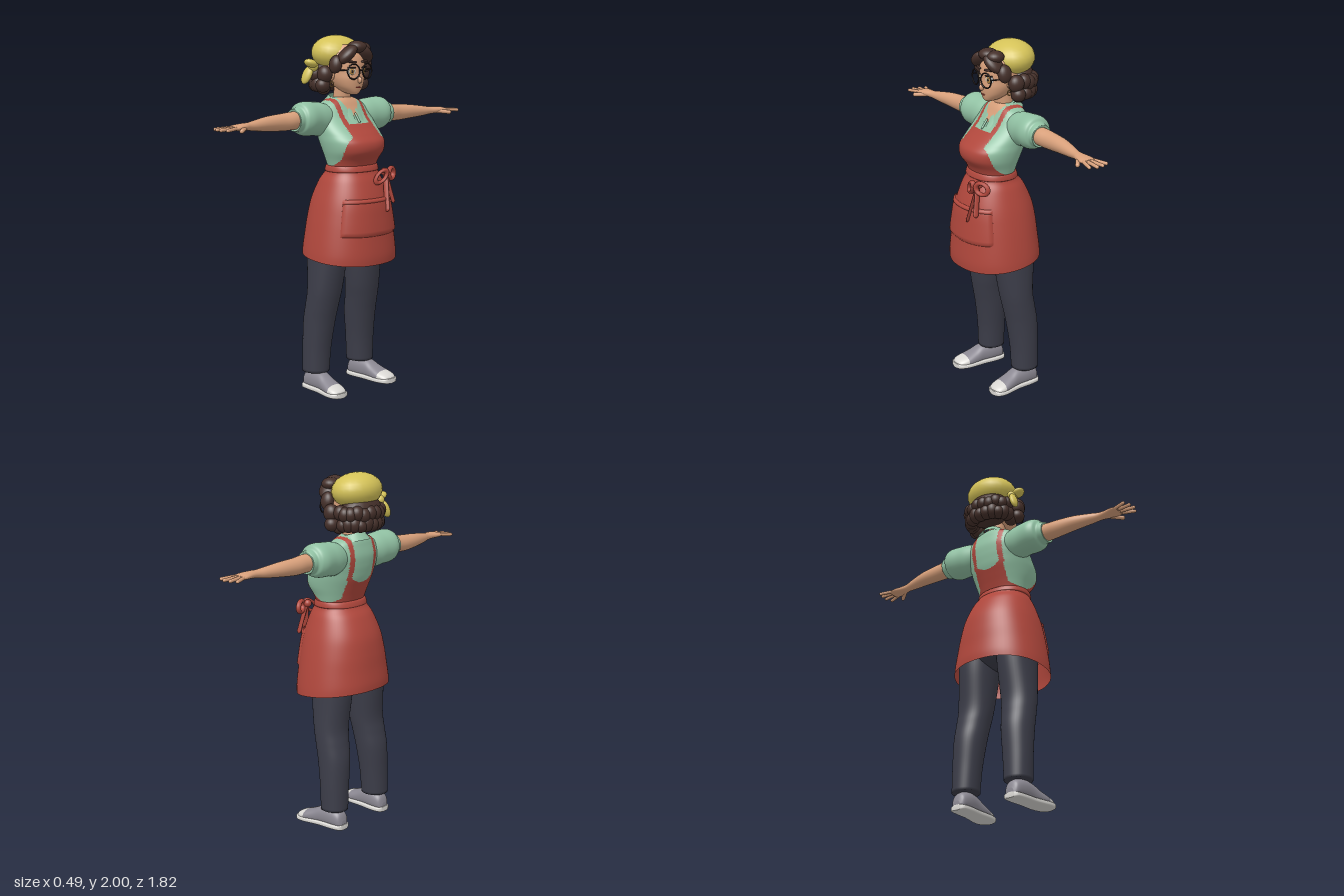
import * as THREE from 'three';

const mat = (name, color, side = THREE.FrontSide) => {
  const m = new THREE.MeshStandardMaterial({ color, side });
  m.name = name;
  return m;
};

export function createModel() {
  const red = mat('apronRed', 0xb0473c, THREE.DoubleSide);
  const green = mat('shirtGreen', 0x91c1a3, THREE.DoubleSide);
  const skin = mat('skin', 0xd8a07b);
  const yellow = mat('scarfYellow', 0xd4c258);
  const hair = mat('hairBrown', 0x45302a);
  const navy = mat('trouserNavy', 0x3c3d49);
  const grey = mat('shoeGrey', 0x8b8892);
  const white = mat('rubberWhite', 0xdad8d4);
  const amber = mat('irisAmber', 0xb98a45);
  const dark = mat('frameDark', 0x2a2020);

  // The figure is built facing +z, then turned to face +x
  const body = new THREE.Group();
  body.name = 'woman';

  const add = (name, geo, material, pos = [0, 0, 0], rot = [0, 0, 0], scale = [1, 1, 1]) => {
    const m = new THREE.Mesh(geo, material);
    m.name = name;
    m.position.set(...pos);
    m.rotation.set(...rot);
    m.scale.set(...scale);
    body.add(m);
    return m;
  };
  const ball = (name, material, pos, radii, rot) =>
    add(name, new THREE.SphereGeometry(1, 24, 16), material, pos, rot, radii);
  // Rounded rod between two points, optionally flattened into a ribbon
  const rod = (name, material, a, b, r, flat = 1) => {
    const p = new THREE.Vector3(...a), q = new THREE.Vector3(...b), d = q.clone().sub(p);
    const m = add(name, new THREE.CapsuleGeometry(r, d.length(), 5, 12), material,
      p.clone().add(q).multiplyScalar(0.5).toArray(), [0, 0, 0], [1, 1, flat]);
    m.quaternion.setFromUnitVectors(new THREE.Vector3(0, 1, 0), d.normalize());
    return m;
  };

  // Smooth cross-section at fractional index k; rows are [t, centreA, radiusA, centreB, radiusB]
  const rowAt = (rows, k) => {
    const i = Math.min(Math.floor(k), rows.length - 2), f = k - i;
    const g = (j) => rows[Math.max(0, Math.min(rows.length - 1, j))];
    return rows[0].map((_, c) => {
      const [a, b, d, e] = [g(i - 1)[c], g(i)[c], g(i + 1)[c], g(i + 2)[c]];
      return b + 0.5 * f * (d - a + f * (2 * a - 5 * b + 4 * d - e + f * (3 * (b - d) + e - a)));
    });
  };
  const pw = (v, e) => Math.sign(v) * Math.abs(v) ** (2 / e);
  const upright = (t, a, b) => new THREE.Vector3(a, t, b);
  const section = (rows, k, ang, place, e = 2.2, off = 0) => {
    const [t, ca, ra, cb, rb] = rowAt(rows, k);
    return place(t, ca + (ra + off) * pw(Math.sin(ang), e), cb + (rb + off) * pw(Math.cos(ang), e));
  };

  // Closed skin through cross-sections; pick() chooses a material per face
  const loft = (name, rows, mats, { place = upright, e = 2.2, seg = 40, sub = 6, pick = () => 0, caps = [1, 1] } = {}) => {
    const n = (rows.length - 1) * sub, pts = [], tris = [];
    for (let i = 0; i <= n; i++)
      for (let j = 0; j < seg; j++) pts.push(section(rows, i / sub, (j / seg) * Math.PI * 2, place, e));
    for (let i = 0; i < n; i++)
      for (let j = 0; j < seg; j++) {
        const a = i * seg + j, b = i * seg + (j + 1) % seg;
        tris.push([a, b, a + seg], [b, b + seg, a + seg]);
      }
    [0, n].forEach((i, c) => {
      if (!caps[c]) return;
      const [t, ca, , cb] = rowAt(rows, i / sub);
      const id = pts.push(place(t, ca, cb)) - 1;
      for (let j = 0; j < seg; j++) {
        const a = i * seg + j, b = i * seg + (j + 1) % seg;
        tris.push(c ? [a, b, id] : [b, a, id]);
      }
    });
    // Keep faces pointing outwards on both mirrored sides
    const mid = pts.reduce((s, p) => s.add(p), new THREE.Vector3()).divideScalar(pts.length);
    const rel = pts.map((p) => p.clone().sub(mid));
    const vol = tris.reduce((s, [a, b, c]) => s + rel[a].dot(rel[b].clone().cross(rel[c])), 0);
    const list = Array.isArray(mats) ? mats : [mats];
    const buckets = list.map(() => []);
    for (const [a, b, c] of tris) {
      const centre = pts[a].clone().add(pts[b]).add(pts[c]).divideScalar(3);
      buckets[pick(centre)].push(...(vol < 0 ? [a, c, b] : [a, b, c]));
    }
    const geo = new THREE.BufferGeometry().setFromPoints(pts);
    geo.setIndex(buckets.flat());
    let start = 0;
    buckets.forEach((b, i) => { geo.addGroup(start, b.length, i); start += b.length; });
    geo.computeVertexNormals();
    return add(name, geo, Array.isArray(mats) ? mats : list[0]);
  };
  // Open sheet from a point function of u and v
  const sheet = (name, material, fn, nu, nv) => {
    const pts = [], idx = [];
    for (let i = 0; i <= nu; i++) for (let j = 0; j <= nv; j++) pts.push(fn(i / nu, j / nv, i % nu === 0 || j % nv === 0));
    for (let i = 0; i < nu; i++) for (let j = 0; j < nv; j++) {
      const a = i * (nv + 1) + j, b = a + nv + 1;
      idx.push(a, a + 1, b, b, a + 1, b + 1);
    }
    const geo = new THREE.BufferGeometry().setFromPoints(pts);
    geo.setIndex(idx);
    geo.computeVertexNormals();
    return add(name, geo, material);
  };
  // [y, halfWidth, back, front] to a section row
  const yz = ([y, w, b, f]) => [y, 0, w, (b + f) / 2, (f - b) / 2];

  // Torso: shirt with bib, straps and open neck
  const torsoRows = [[1.24, .143, -.09, .135], [1.28, .147, -.088, .138], [1.32, .158, -.1, .155], [1.37, .176, -.12, .19],
    [1.42, .187, -.14, .19], [1.46, .19, -.15, .155], [1.5, .193, -.157, .11], [1.55, .19, -.16, .06],
    [1.6, .165, -.15, .03], [1.635, .125, -.14, .012], [1.66, .06, -.12, -.005]].map(yz);
  loft('torso', torsoRows, [red, green, skin], {
    seg: 120, sub: 10,
    pick: ({ x, y, z }) => {
      const ax = Math.abs(x);
      if (z > -.03 && y > 1.56 && ax < .02 + (y - 1.56) * .5) return 2;
      if (y > 1.42 && ax > .078 && ax < .106) return 0;
      const armhole = (z / .145) ** 2 + (Math.min(0, y - 1.47) / .18) ** 2 < 1 && ax > .1;
      if (armhole) return 1;
      if (z > 0) return y < 1.52 && ax < .105 + (1.52 - y) * .9 ? 0 : 1;
      return y < 1.4 + ax * ax * 5 && ax < .13 || y < 1.3 ? 0 : 1;
    },
  });

  // Apron skirt with its hem dropping towards the front
  const skirtRows = [[1.29, .147, -.092, .142], [1.25, .155, -.112, .155], [1.2, .18, -.15, .18], [1.1, .215, -.195, .213],
    [1, .24, -.213, .227], [.9, .259, -.222, .236], [.82, .271, -.23, .242], [.773, .275, -.23, .239]].map(yz);
  const hem = (t, a, b) =>
    new THREE.Vector3(a, t - .117 * (b - .005) * Math.max(0, Math.min(1, (1.05 - t) / .27)), b);
  loft('apronSkirt', skirtRows, red, { place: hem, seg: 64, caps: [1, 0] });
  sheet('pocket', red, (u, v, edge) =>
    section(skirtRows, 2.85 + 1.95 * u, -.95 + 1.9 * v, hem, 2.2, edge ? -.002 : .01), 14, 28);
  sheet('pocketHem', red, (u, v, edge) =>
    section(skirtRows, 2.85 + .25 * u, -.95 + 1.9 * v, hem, 2.2, edge ? .005 : .014), 4, 28);
  loft('waistband', [[1.255, .152, -.104, .15], [1.262, .158, -.108, .155], [1.285, .154, -.1, .148], [1.292, .146, -.09, .14]].map(yz), red, { seg: 64 });

  // Bow at the waist
  ball('bowKnot', red, [.105, 1.25, .175], [.022, .022, .022]);
  add('bowLoop', new THREE.TorusGeometry(.032, .011, 10, 24), red, [.062, 1.228, .195], [0, -.3, .75], [1.35, .75, 1.3]);
  add('bowLoop', new THREE.TorusGeometry(.032, .011, 10, 24), red, [.15, 1.238, .185], [0, .4, -.1], [1.25, 1, 1.3]);
  rod('bowTail', red, [.105, 1.24, .185], [.075, 1.05, .228], .016, .4);
  rod('bowTail', red, [.108, 1.24, .185], [.135, 1.09, .215], .016, .4);

  // Collar, wrapping the neck and falling to two points
  sheet('collar', green, (u, v) => {
    const a = (u * 2 - 1) * 2.95, f = Math.abs(a) / 2.95, s = Math.max(0, 1 - Math.abs(f - .86) / .2);
    const top = 1.678 - .088 * f ** 2, y = top - v * (.04 + .05 * s);
    const r = .068 + .035 * v + .025 * v * s;
    return new THREE.Vector3(Math.sin(a) * r, y, -.06 - Math.cos(a) * (r + .015 * f) + .015 * f * f);
  }, 48, 5);
  rod('placket', green, [0, 1.57, .055], [0, 1.53, .085], .008, .6);

  // Neck and head
  rod('neck', skin, [0, 1.6, -.065], [0, 1.72, -.045], .05);
  loft('head', [[1.677, .016, .02, .058], [1.69, .04, -.03, .07], [1.72, .072, -.08, .078], [1.76, .093, -.13, .083],
    [1.8, .102, -.17, .08], [1.85, .106, -.18, .08], [1.9, .104, -.18, .065], [1.95, .075, -.15, .02]].map(yz), skin);
  ball('nose', skin, [0, 1.758, .085], [.011, .018, .018], [-.35, 0, 0]);
  ball('mouth', red, [0, 1.717, .077], [.02, .004, .004]);

  for (const s of [-1, 1]) {
    // Face details and glasses
    const turn = [0, s * .35, 0];
    ball('eyeWhite', white, [s * .048, 1.806, .068], [.027, .021, .006], turn);
    ball('iris', amber, [s * .048, 1.806, .073], [.015, .018, .005], turn);
    ball('pupil', dark, [s * .048, 1.806, .077], [.007, .009, .003], turn);
    rod('eyelid', dark, [s * .026, 1.825, .079], [s * .07, 1.827, .066], .004);
    rod('eyebrow', hair, [s * .025, 1.857, .081], [s * .072, 1.86, .068], .006);
    add('glassesRim', new THREE.TorusGeometry(.041, .004, 8, 32), dark, [s * .052, 1.806, .093], [0, s * .15, 0]);
    rod('glassesTemple', dark, [s * .093, 1.815, .086], [s * .108, 1.81, -.03], .0035);
    ball('ear', skin, [s * .105, 1.785, -.03], [.014, .032, .022]);
    add('earring', new THREE.TorusGeometry(.014, .003, 8, 20), amber, [s * .108, 1.735, -.022], [0, Math.PI / 2, 0]);

    // Hair framing the face
    ball('fringe', hair, [s * .062, 1.898, .05], [.07, .034, .054], [0, s * .35, -s * .72]);
    ball('templeLock', hair, [s * .115, 1.845, .015], [.032, .05, .04], [0, 0, s * .2]);
    ball('sideCurl', hair, [s * .145, 1.79, -.04], [.04, .048, .045]);
    ball('sideCurl', hair, [s * .15, 1.73, -.05], [.042, .04, .04]);
    ball('sideCurl', hair, [s * .12, 1.71, -.075], [.035, .034, .04]);

    // Sleeve, arm and hand
    const along = (t, a, b) => new THREE.Vector3(s * t, a, b);
    loft('sleeve', [[.11, 1.545, .075, -.06, .075], [.17, 1.545, .093, -.062, .086], [.22, 1.55, .093, -.062, .09],
      [.28, 1.553, .094, -.06, .096], [.315, 1.555, .085, -.058, .085], [.33, 1.553, .068, -.056, .067],
      [.345, 1.552, .065, -.055, .064], [.362, 1.55, .061, -.054, .061], [.36, 1.55, .05, -.054, .05]],
    green, { place: along, e: 2 });
    loft('arm', [[.3, 1.55, .05, -.056, .05], [.38, 1.549, .049, -.054, .05], [.45, 1.545, .047, -.058, .046],
      [.55, 1.545, .04, -.052, .041], [.65, 1.543, .029, -.038, .031], [.7, 1.543, .022, -.029, .026],
      [.74, 1.544, .02, -.022, .032], [.79, 1.543, .017, -.02, .044], [.825, 1.541, .011, -.02, .042]],
    skin, { place: along, e: 2, seg: 24 });
    [[.882, -.078], [.898, -.043], [.903, -.005], [.888, .032]].forEach(([x, z], i) =>
      rod('finger', skin, [s * .808, 1.543, -.05 + i * .02], [s * x, 1.538, z], .0095));
    rod('thumb', skin, [s * .745, 1.538, -.005], [s * .805, 1.53, .042], .012);

    // Trouser leg
    loft('trouserLeg', [[.95, .13, .11, -.035, .125], [.8, .134, .106, -.035, .12], [.6, .148, .1, -.04, .096],
      [.5, .156, .094, -.055, .092], [.4, .162, .089, -.073, .09], [.25, .171, .081, -.084, .08],
      [.11, .176, .075, -.088, .077]].map(([y, x, rx, z, rz]) => [y, s * x, rx, z, rz]), navy, { e: 2.1 });

    // Shoe with rubber toe and sole
    const lengthwise = (t, a, b) => new THREE.Vector3(s * a, b, t);
    const shoe = [[-.162, .178, .02, .05], [-.145, .178, .042, .095], [-.09, .18, .05, .118], [-.02, .185, .049, .112],
      [.03, .19, .054, .087], [.08, .196, .059, .066], [.12, .2, .053, .052], [.142, .2, .038, .04], [.15, .2, .012, .03]];
    loft('shoeUpper', shoe.map(([z, x, r, h]) => [z, x, r, h / 2 + .002, h / 2]), [grey, white],
      { place: lengthwise, e: 2.2, pick: (p) => (p.z > .085 ? 1 : 0) });
    loft('shoeSole', shoe.map(([z, x, r]) => [z * 1.03, x, r + .007, .015, .015]), white, { place: lengthwise, e: 4 });
  }
  rod('glassesBridge', dark, [-.012, 1.812, .099], [.012, 1.812, .099], .004);
  ball('hips', navy, [0, .95, -.025], [.22, .14, .15]);

  // Hair mass with curls around the nape
  ball('hairMass', hair, [0, 1.79, -.125], [.135, .1, .1]);
  ball('fringeCrown', hair, [.012, 1.938, .052], [.055, .034, .052]);
  ball('fringeCrown', hair, [.06, 1.93, .04], [.05, .034, .05]);
  for (let i = 0; i <= 10; i++) {
    const a = -1.5 + i * .3, w = .006 * Math.sin(i * 2.4);
    ball('napeCurl', hair, [Math.sin(a) * .125, 1.732 + w, -.105 - Math.cos(a) * .095], [.04, .044 + w, .04]);
    ball('upperCurl', hair, [Math.sin(a + .15) * .135, 1.788 - w, -.105 - Math.cos(a + .15) * .1], [.038, .042, .038]);
  }

  // Head scarf with a knot and two tails
  ball('scarf', yellow, [0, 1.902, -.097], [.152, .098, .129], [.12, 0, 0]);
  ball('scarfKnot', yellow, [-.163, 1.832, -.115], [.028, .03, .034]);
  ball('scarfTail', yellow, [-.193, 1.85, -.1], [.04, .022, .035], [0, 0, -.35]);
  ball('scarfTail', yellow, [-.188, 1.785, -.135], [.02, .055, .032], [.25, 0, -.35]);

  body.rotation.y = Math.PI / 2;
  const model = new THREE.Group();
  model.name = 'model';
  model.add(body);
  return model;
}
